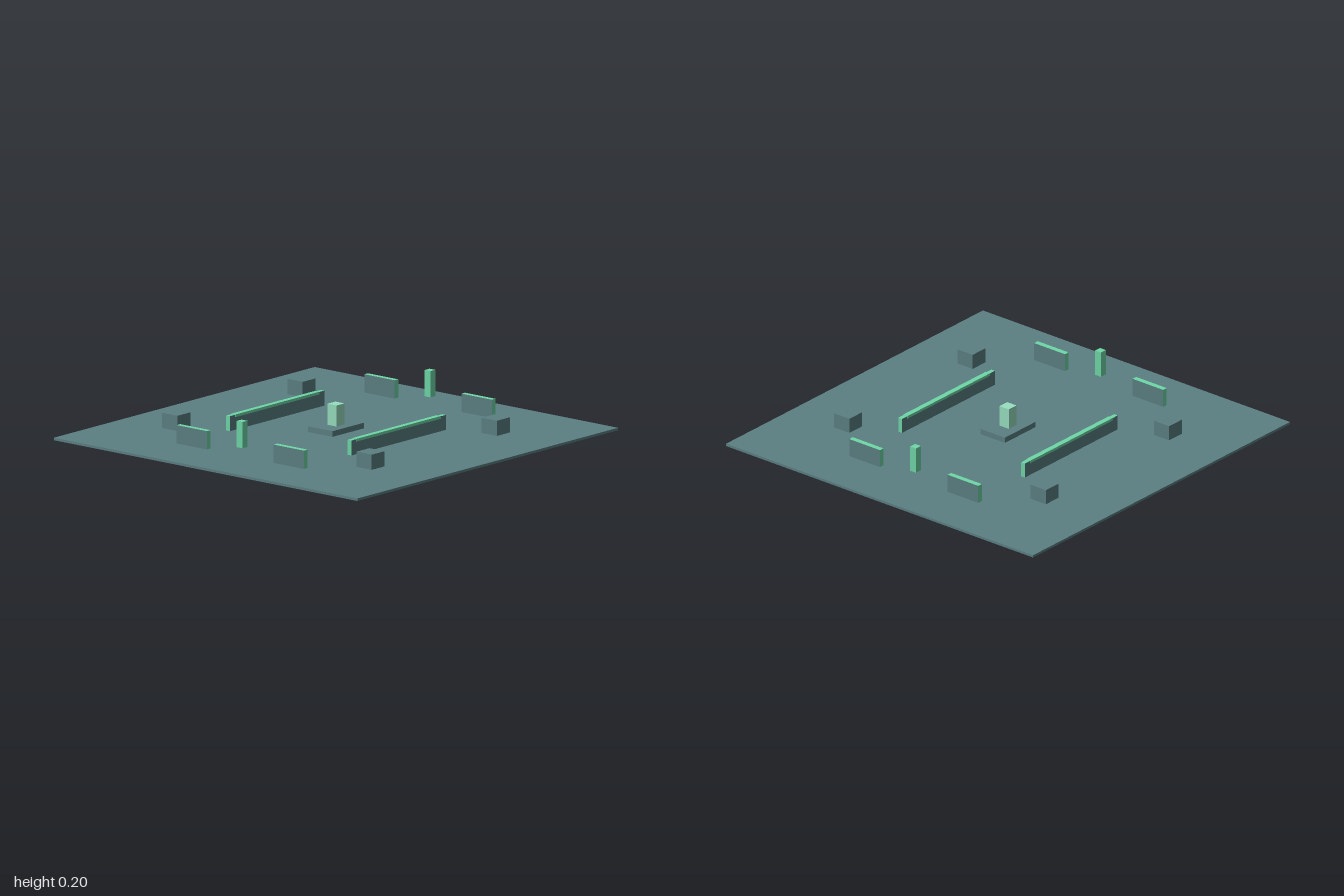
import * as THREE from 'three';

const mat = (color) => new THREE.MeshStandardMaterial({ color });

export function createModel() {
  const model = new THREE.Group();
  const slate = mat(0x5c8083);
  const green = mat(0x6fd8a8);
  const pale = mat(0x98dfc0);

  // Box given by its centre in plan, its size and its bottom and top heights
  function block(name, x, z, w, d, y0, y1, material) {
    const mesh = new THREE.Mesh(new THREE.BoxGeometry(w, y1 - y0, d), material);
    mesh.position.set(x, (y0 + y1) / 2, z);
    mesh.name = name;
    model.add(mesh);
    return mesh;
  }

  // Face order: +x, -x, +y, -y, +z, -z; the broad faces are slate, the rims green
  const alongX = [green, green, green, green, slate, slate];
  const alongZ = [slate, slate, green, green, green, green];

  block('floor', 0, 0, 2, 2, 0, 0.013, slate);

  // Central pedestal
  block('plinth', 0, 0, 0.16, 0.24, 0.026, 0.055, slate);
  block('pedestalBlock', 0, 0, 0.06, 0.06, 0.055, 0.163, pale);

  for (const s of [-1, 1]) {
    // Long side walls with a light strip along the top
    block('sideWall', s * 0.4, 0, 0.024, 0.724, 0.026, 0.103, alongZ);
    block('wallStrip', s * 0.4, 0, 0.028, 0.645, 0.091, 0.105, green);

    // Hovering marker at each end
    block('endMarker', 0, s * 0.72, 0.038, 0.038, 0.07, 0.205, green);

    for (const t of [-1, 1]) {
      block('endBarrier', t * 0.32, s * 0.72, 0.2, 0.028, 0.026, 0.12, alongX);
      block('crate', t * 0.64, s * 0.48, 0.1, 0.1, 0.026, 0.104, slate);
    }
  }
  return model;
}
